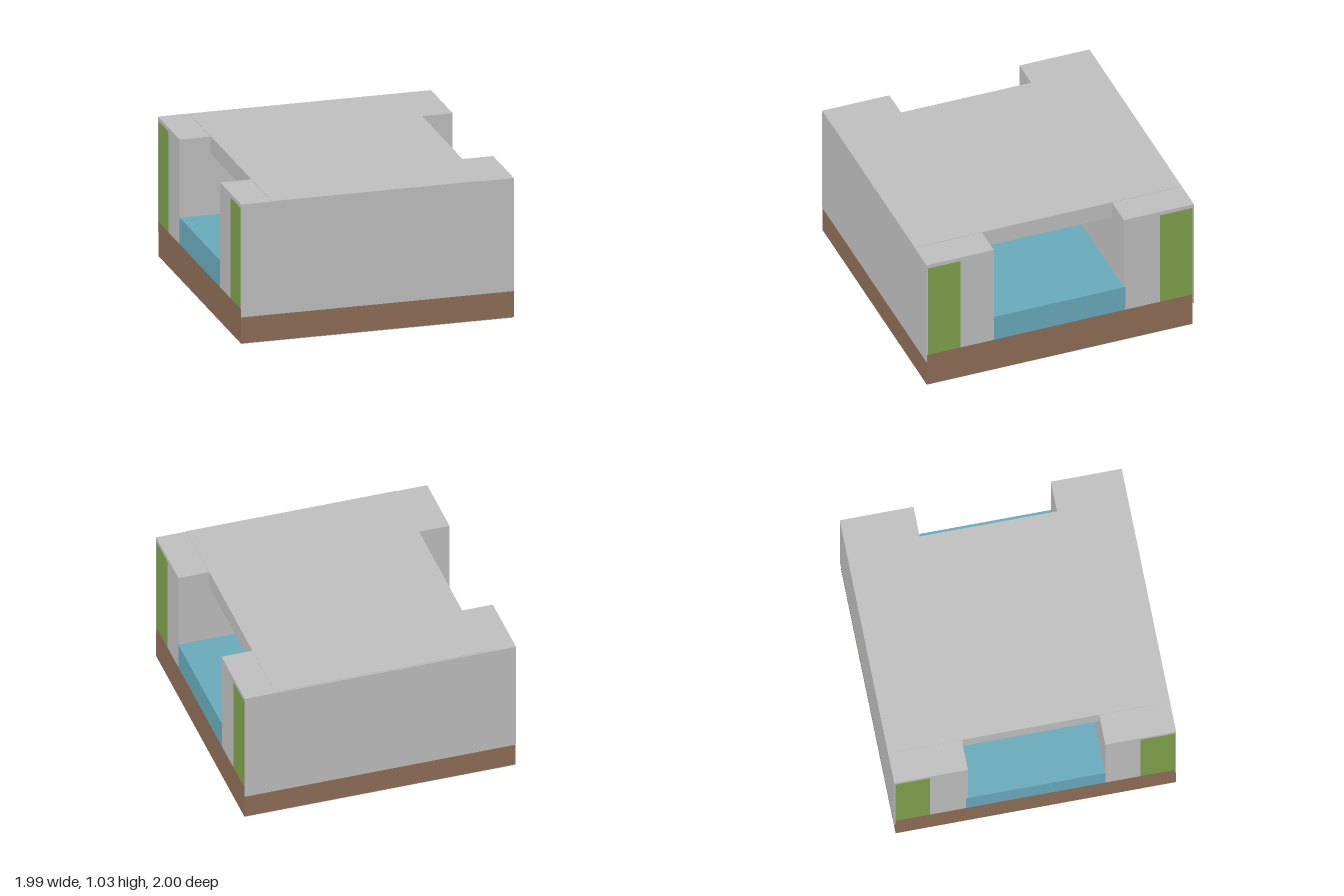
import * as THREE from 'three';

const mat = (name, color) => Object.assign(new THREE.MeshStandardMaterial({ color }), { name });

export function createModel() {
  const concrete = mat('concrete', 0xbebebe);
  const earth = mat('earth', 0x8d6d56);
  const grass = mat('grass', 0x7ea04a);
  const water = mat('water', 0x68a9ba);

  const model = new THREE.Group();
  model.name = 'bridge';

  // Box given by its lower and upper limits on each axis
  const block = (name, material, [x0, x1], [y0, y1], [z0, z1]) => {
    const geometry = new THREE.BoxGeometry(x1 - x0, y1 - y0, z1 - z0);
    const mesh = new THREE.Mesh(geometry, material);
    mesh.position.set((x0 + x1) / 2, (y0 + y1) / 2, (z0 + z1) / 2);
    mesh.name = name;
    model.add(mesh);
  };
  const full = [-0.993, 0.993];

  // Ground and the channel of water
  block('footing', concrete, [-0.985, 0.985], [0, 0.008], [-0.985, 0.985]);
  block('ground', earth, full, [0.008, 0.26], [-0.99, 0.998]);
  block('river', water, full, [0.26, 0.455], [-0.49, 0.497]);

  // Abutments, embankments and road approaches at both ends
  for (const s of [1, -1]) {
    const inner = s > 0 ? 0.497 : -0.477;
    const span = (a, b) => (a < b ? [a, b] : [b, a]);
    const end = s > 0 ? 'front' : 'back';
    block(end + 'Abutment', concrete, full, [0.26, 1.0], span(inner, s * 0.745));
    block(end + 'Embankment', grass, full, [0.26, 1.0], span(s * 0.745, s * 0.99));
    block(end + 'Approach', concrete, full, [1.0, 1.03], span(inner, s * 0.992));
    block(end + 'EndWall', concrete, full, [s > 0 ? 0.2 : 0.185, 1.03], span(s * 0.99, s));
  }

  // Deck across the water, with a slightly narrower underside
  block('deck', concrete, [-0.768, 0.768], [0.905, 1.033], [-0.99, 1]);
  block('deckSoffit', concrete, [-0.72, 0.72], [0.885, 0.905], [-0.477, 0.497]);

  return model;
}
